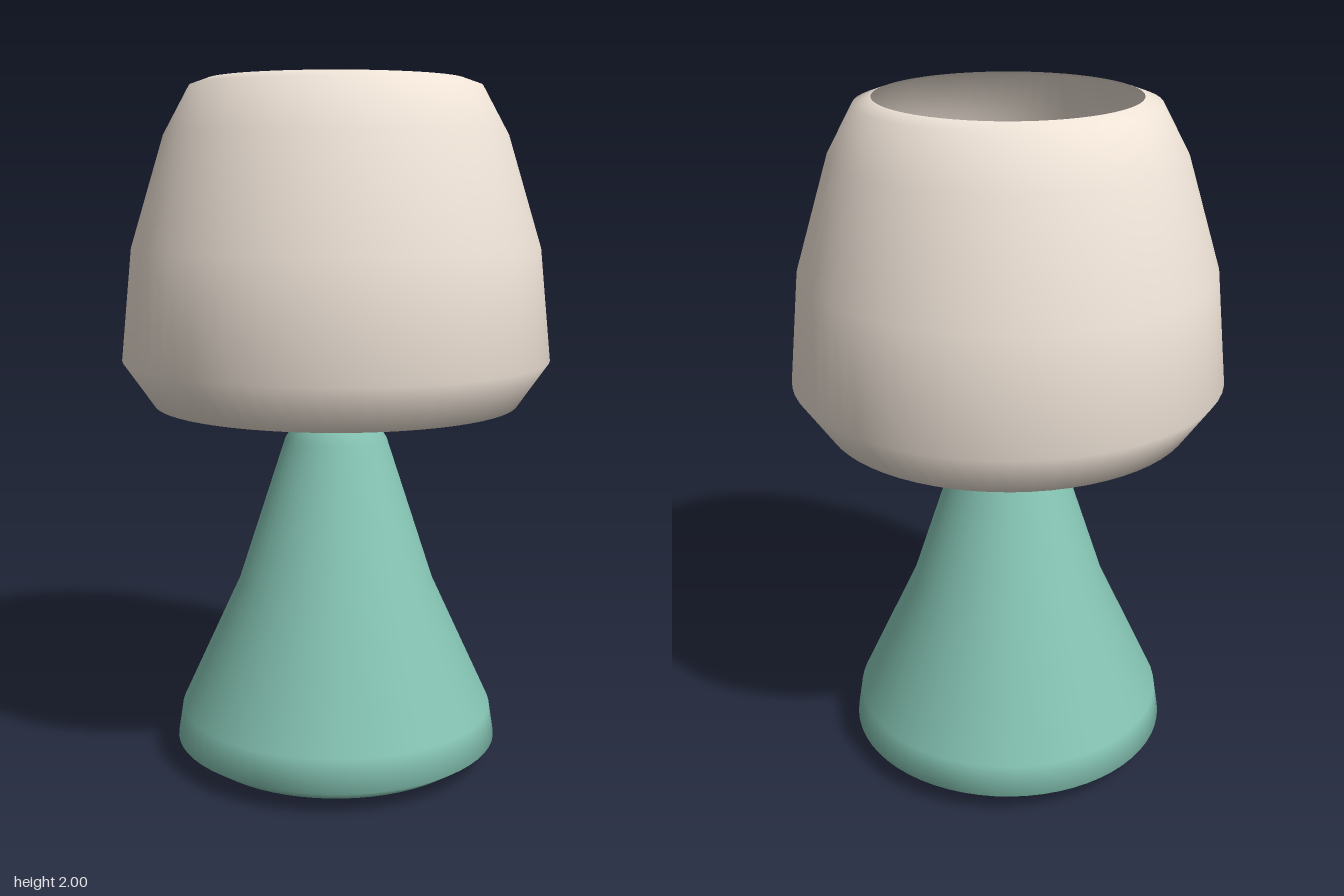
import * as THREE from 'three';

const material = (color, side = THREE.FrontSide) =>
  new THREE.MeshStandardMaterial({ color, side });

// Revolves a bottom-to-top list of [radius, height] pairs around y.
function turned(name, profile, mat) {
  const points = profile.map(([r, y]) => new THREE.Vector2(r, y));
  const mesh = new THREE.Mesh(new THREE.LatheGeometry(points, 64), mat);
  mesh.name = name;
  return mesh;
}

export function createModel() {
  const lamp = new THREE.Group();
  lamp.name = 'tableLamp';

  // Solid conical foot with a rounded rim and rounded tip
  lamp.add(turned('base', [
    [0, 0], [0.31, 0.01], [0.42, 0.025], [0.48, 0.065], [0.465, 0.16],
    [0.29, 0.54], [0.15, 0.97], [0.105, 1.04], [0.05, 1.052], [0, 1.055],
  ], material(0x85c4b3)));

  // Thin shade, open at the top and the bottom
  lamp.add(turned('shade', [
    [0.36, 1.06], [0.53, 1.08], [0.62, 1.21], [0.587, 1.53],
    [0.49, 1.845], [0.415, 1.982], [0.365, 2],
  ], material(0xf0e4d8, THREE.DoubleSide)));

  // Round bulb floating inside the shade
  const bulb = new THREE.Mesh(new THREE.SphereGeometry(0.202, 48, 32), material(0xf0dca5));
  bulb.name = 'bulb';
  bulb.position.y = 1.34;
  lamp.add(bulb);

  return lamp;
}
